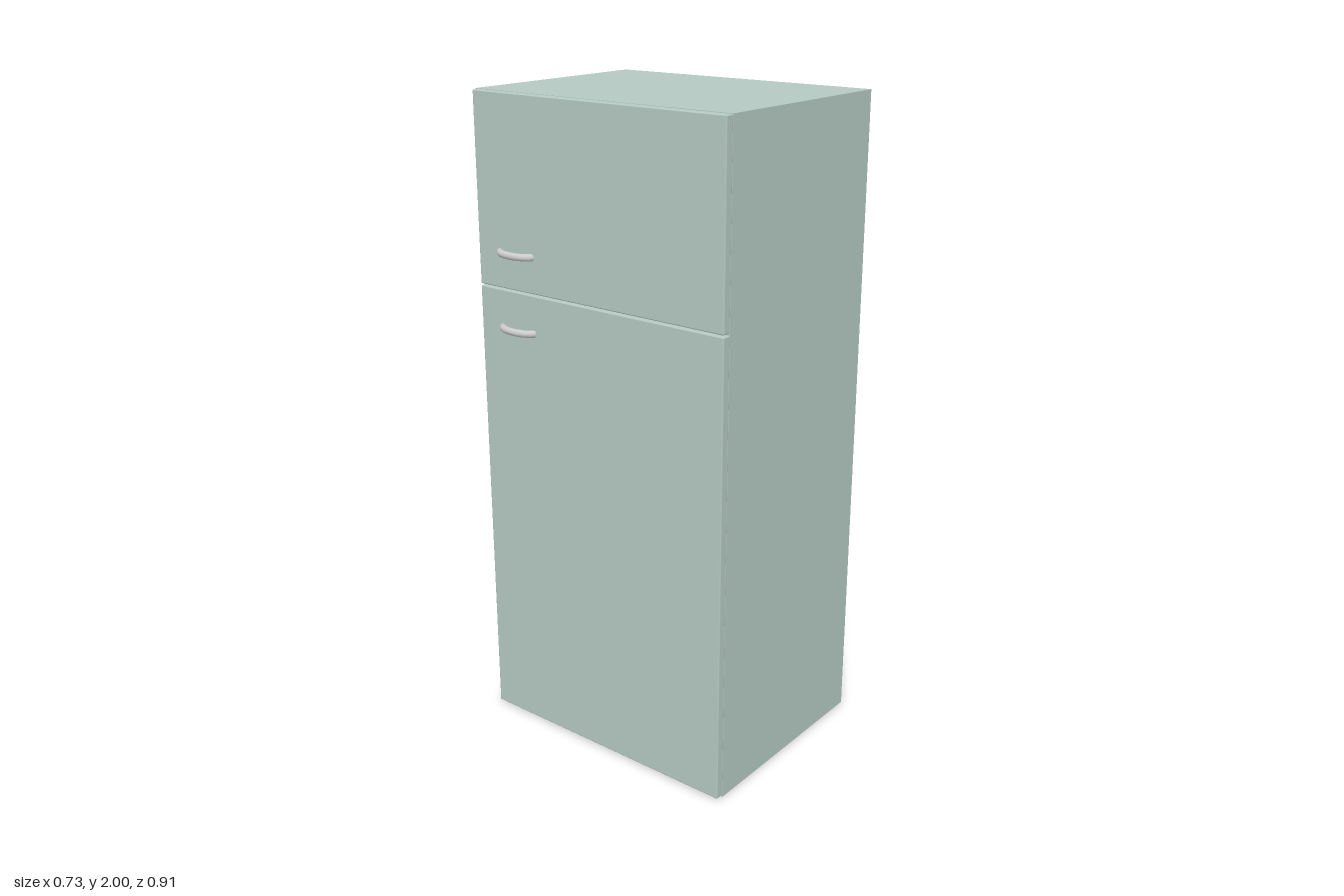
import * as THREE from 'three';
import { RoundedBoxGeometry } from 'three/addons/geometries/RoundedBoxGeometry.js';

const paint = new THREE.MeshStandardMaterial({ color: 0xb4c8c2 });
const metal = new THREE.MeshStandardMaterial({ color: 0xcccccc });

function addMesh(parent, name, geometry, material, x, y, z) {
  const mesh = new THREE.Mesh(geometry, material);
  mesh.name = name;
  mesh.position.set(x, y, z);
  parent.add(mesh);
  return mesh;
}

// Shallow bow in the horizontal plane, both ends sunk into the door
function handleGeometry() {
  const points = [];
  for (let i = 0; i <= 16; i++) {
    const a = (Math.PI * i) / 16;
    points.push(new THREE.Vector3(-0.032 * Math.sin(a), 0, -0.065 * Math.cos(a)));
  }
  return new THREE.TubeGeometry(new THREE.CatmullRomCurve3(points), 32, 0.011, 12);
}

export function createModel() {
  const model = new THREE.Group();
  model.name = 'refrigerator';

  // Cabinet, turned very slightly behind the doors
  const cabinet = addMesh(model, 'cabinet', new THREE.BoxGeometry(0.674, 2, 0.907), paint, 0.026, 1, -0.002);
  cabinet.rotation.y = 0.007;

  // Doors on the -x side, with a thin gap between them
  const doors = [
    { name: 'freezerDoor', bottom: 1.432, top: 1.999, handleY: 1.54 },
    { name: 'fridgeDoor', bottom: 0.006, top: 1.427, handleY: 1.312 },
  ];
  for (const { name, bottom, top, handleY } of doors) {
    const geometry = new RoundedBoxGeometry(0.028, top - bottom, 0.899, 2, 0.004);
    addMesh(model, name, geometry, paint, -0.321, (bottom + top) / 2, 0.0045);
    addMesh(model, name + 'Handle', handleGeometry(), metal, -0.325, handleY, -0.296);
  }

  return model;
}
